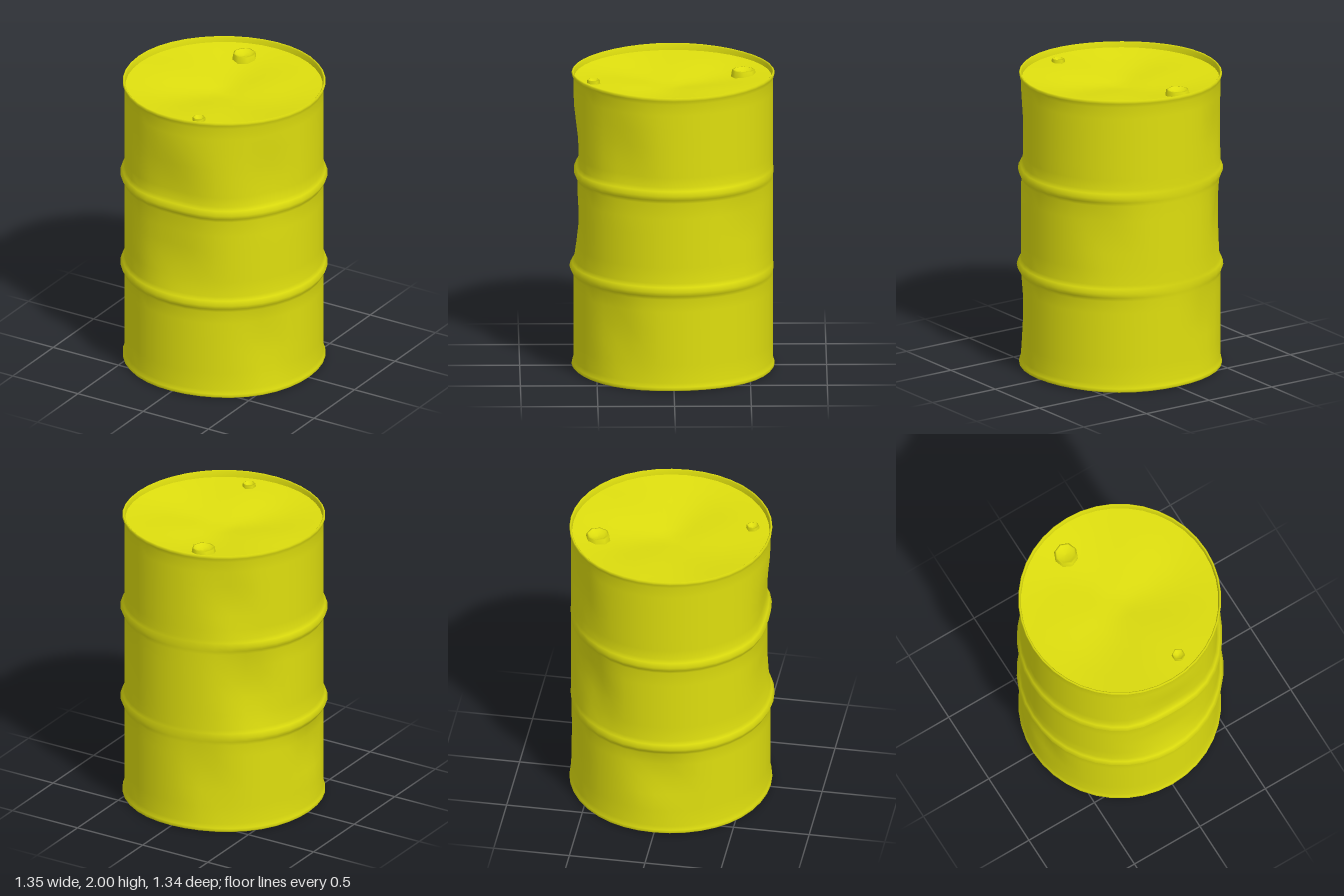
import * as THREE from 'three';
import { mergeVertices } from 'three/addons/utils/BufferGeometryUtils.js';

const SIDES = 40;

// Dents: [angle from front toward +x, height, half angle, half height, depth]
const DENTS = [
  [0.0, 1.44, 0.55, 0.42, 0.035],
  [0.0, 1.0, 0.6, 0.34, 0.035],
  [1.05, 1.55, 0.4, 0.4, 0.022],
  [1.0, 0.36, 0.35, 0.33, 0.02],
  [-1.5, 0.45, 0.45, 0.28, 0.03],
  [-2.3, 1.02, 0.4, 0.36, 0.035],
  [-2.75, 0.4, 0.35, 0.33, 0.02],
  [-2.5, 1.65, 0.35, 0.3, 0.02],
  [2.4, 1.05, 0.4, 0.3, 0.012],
];

const wrap = (a) => Math.atan2(Math.sin(a), Math.cos(a));
const bump = (t) => (Math.abs(t) < 1 ? 0.5 + 0.5 * Math.cos(Math.PI * t) : 0);

function dentDepth(angle, y) {
  let d = 0;
  for (const [a, h, wa, wh, depth] of DENTS) {
    d += depth * bump(wrap(angle - a) / wa) * bump((y - h) / wh);
  }
  return d;
}

// Rolled hoops stand out of the wall, and are pressed almost flat at the back
function hoopHeight(angle, y) {
  const press = 1 - 0.85 * bump(wrap(angle - Math.PI - 0.1) / 1.35);
  const hoop = (h) => Math.max(0, 1 - Math.abs(y - h) / 0.055);
  return 0.027 * press * (hoop(0.68) + hoop(1.33));
}

function smoothLathe(points, rule) {
  let geo = new THREE.LatheGeometry(points.map((p) => new THREE.Vector2(...p)), SIDES);
  const pos = geo.attributes.position;
  const v = new THREE.Vector3();
  for (let i = 0; i < pos.count; i++) {
    v.fromBufferAttribute(pos, i);
    rule(v);
    pos.setXYZ(i, v.x, v.y, v.z);
  }
  geo.deleteAttribute('uv');
  geo.deleteAttribute('normal');
  geo = mergeVertices(geo, 1e-4);
  geo.computeVertexNormals();
  return geo;
}

const lidHeight = (r) => 1.89 + 0.065 * (r / 0.645);

export function createModel() {
  const barrel = new THREE.Group();
  barrel.name = 'barrel';
  const paint = new THREE.MeshStandardMaterial({ color: 0xdede0e });
  paint.name = 'yellow paint';

  const add = (name, geo, x = 0, y = 0, z = 0) => {
    const mesh = new THREE.Mesh(geo, paint);
    mesh.name = name;
    mesh.position.set(x, y, z);
    barrel.add(mesh);
    return mesh;
  };

  // Dented wall with two hoops and rolled rims
  const wall = [[0.64, 0.04], [0.645, 0.012], [0.655, 0.004], [0.662, 0.012], [0.66, 0.03]];
  for (const y of [0.06, 0.18, 0.3, 0.42, 0.54, 0.625, 0.65, 0.68, 0.71, 0.735, 0.84, 0.95,
    1.06, 1.17, 1.275, 1.3, 1.33, 1.36, 1.385, 1.45, 1.55, 1.65, 1.76, 1.87, 1.95]) {
    wall.push([0.65, y]);
  }
  wall.push([0.66, 1.975], [0.662, 1.99], [0.655, 1.998], [0.647, 1.99], [0.643, 1.95]);
  add('wall', smoothLathe(wall, (v) => {
    const angle = Math.atan2(v.x, v.z);
    const r = Math.hypot(v.x, v.z);
    const k = (r + hoopHeight(angle, v.y) - dentDepth(angle, v.y)) / r;
    v.x *= k;
    v.z *= k;
    // Slight wave along both rims
    if (v.y > 1.94) v.y += 0.004 * Math.sin(3 * angle) - 0.002;
    if (v.y < 0.04) v.y += 0.003 + 0.003 * Math.sin(4 * angle + 1);
  }));

  // Sunken, slightly dished lid with shallow buckles
  add('lid', smoothLathe([0.645, 0.52, 0.38, 0.22, 0.1, 0].map((r) => [r, lidHeight(r)]), (v) => {
    const r = Math.hypot(v.x, v.z);
    v.y += 0.012 * Math.sin(3 * Math.atan2(v.x, v.z) + 0.6) * bump((r - 0.36) / 0.3);
  }));

  // Recessed base
  add('base', smoothLathe([[0, 0.05], [0.3, 0.047], [0.643, 0.035]], () => {}));

  // Bungs: raised collar with a hollowed cap
  const bung = (name, radius, sides, x, z) => {
    const profile = [[radius * 1.12, -0.04], [radius, 0.018], [radius * 0.85, 0.02],
      [radius * 0.6, 0.004], [0, 0]].map((p) => new THREE.Vector2(...p));
    add(name, new THREE.LatheGeometry(profile, sides), x, lidHeight(Math.hypot(x, z)) + 0.008, z);
  };
  bung('largeBung', 0.075, 8, -0.13, -0.46);
  bung('smallBung', 0.042, 6, 0.13, 0.52);

  return barrel;
}
